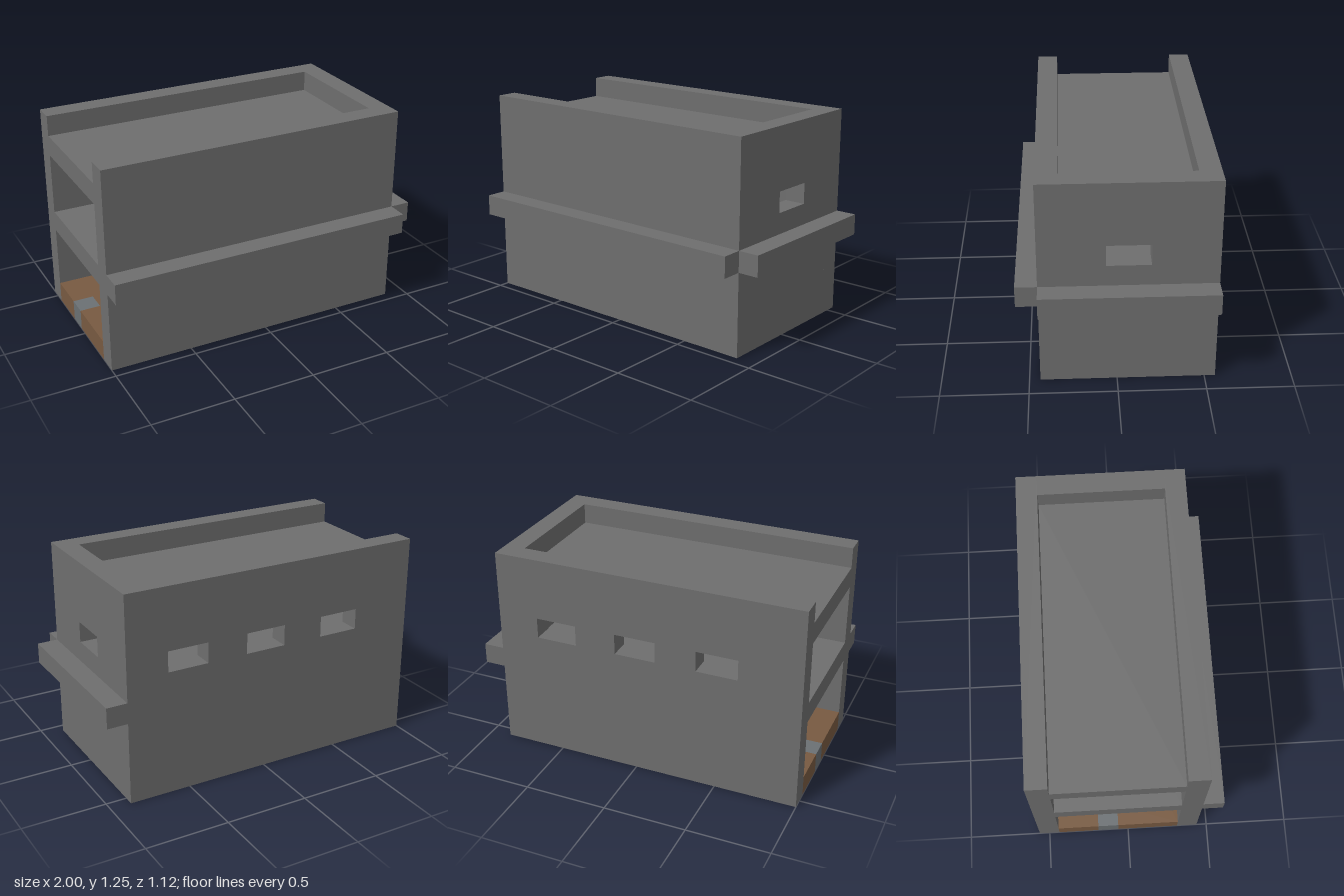
import * as THREE from 'three';

const T = 0.125; // thickness shared by walls, slabs and ledges

const stone = new THREE.MeshStandardMaterial({ color: 0x6e6e6e });
stone.name = 'stone grey';
const wood = new THREE.MeshStandardMaterial({ color: 0x785a41 });
wood.name = 'wood brown';
const steel = new THREE.MeshStandardMaterial({ color: 0x6b7073 });
steel.name = 'steel grey';

const rect = (C, x0, x1, y0, y1) => new C([
  [x0, y0], [x1, y0], [x1, y1], [x0, y1],
].map(([x, y]) => new THREE.Vector2(x, y)));

export function createModel() {
  const model = new THREE.Group();
  model.name = 'bunkerHouse';

  const add = (name, geometry, material) => {
    const mesh = new THREE.Mesh(geometry, material);
    mesh.name = name;
    model.add(mesh);
    return mesh;
  };

  // Box given by its limits on each axis
  const block = (name, [x0, x1], [y0, y1], [z0, z1], material = stone) =>
    add(name, new THREE.BoxGeometry(x1 - x0, y1 - y0, z1 - z0), material)
      .position.set((x0 + x1) / 2, (y0 + y1) / 2, (z0 + z1) / 2);

  const extrude = (shape) => new THREE.ExtrudeGeometry(shape, { depth: T, bevelEnabled: false });

  // Long walls: solid front, back with three window slots
  block('frontWall', [-1, 0.875], [0, 1.25], [0.3125, 0.4375]);
  const back = rect(THREE.Shape, -1, 0.875, 0, 1.25);
  for (const x of [-0.5, 0, 0.5]) {
    back.holes.push(rect(THREE.Path, x - T, x + T, 0.75, 0.875));
  }
  add('backWall', extrude(back), stone).position.z = -0.5625;

  // End wall with one window slot (the opposite end stays open)
  const end = rect(THREE.Shape, -0.3125, 0.4375, 0, 1.25);
  end.holes.push(rect(THREE.Path, -0.0625, 0.1875, 0.75, 0.875));
  add('endWall', extrude(end).rotateY(Math.PI / 2), stone).position.x = 0.75;

  // Upper floor and sunken roof
  for (const [name, y] of [['upperFloor', 0.5], ['roof', 1]]) {
    block(name, [-1, 0.75], [y, y + T], [-0.4375, 0.3125]);
  }

  // Wooden ground floor, notched at the open end for the inset block
  const floor = new THREE.Shape([
    [-1, -0.3125], [0.75, -0.3125], [0.75, 0.4375], [-1, 0.4375],
    [-1, 0.1875], [-0.875, 0.1875], [-0.875, 0.0625], [-1, 0.0625],
  ].map(([x, y]) => new THREE.Vector2(x, y)));
  add('groundFloor', extrude(floor).rotateX(-Math.PI / 2), wood);
  block('floorInset', [-1, -0.875], [0, T], [-0.1875, -0.0625], steel);

  // Ledges running around the outside
  block('frontLedge', [-1, 0.875], [0.5, 0.625], [0.4375, 0.5625]);
  block('endLedge', [0.875, 1], [0.5, 0.625], [-0.5625, 0.4375]);

  return model;
}
